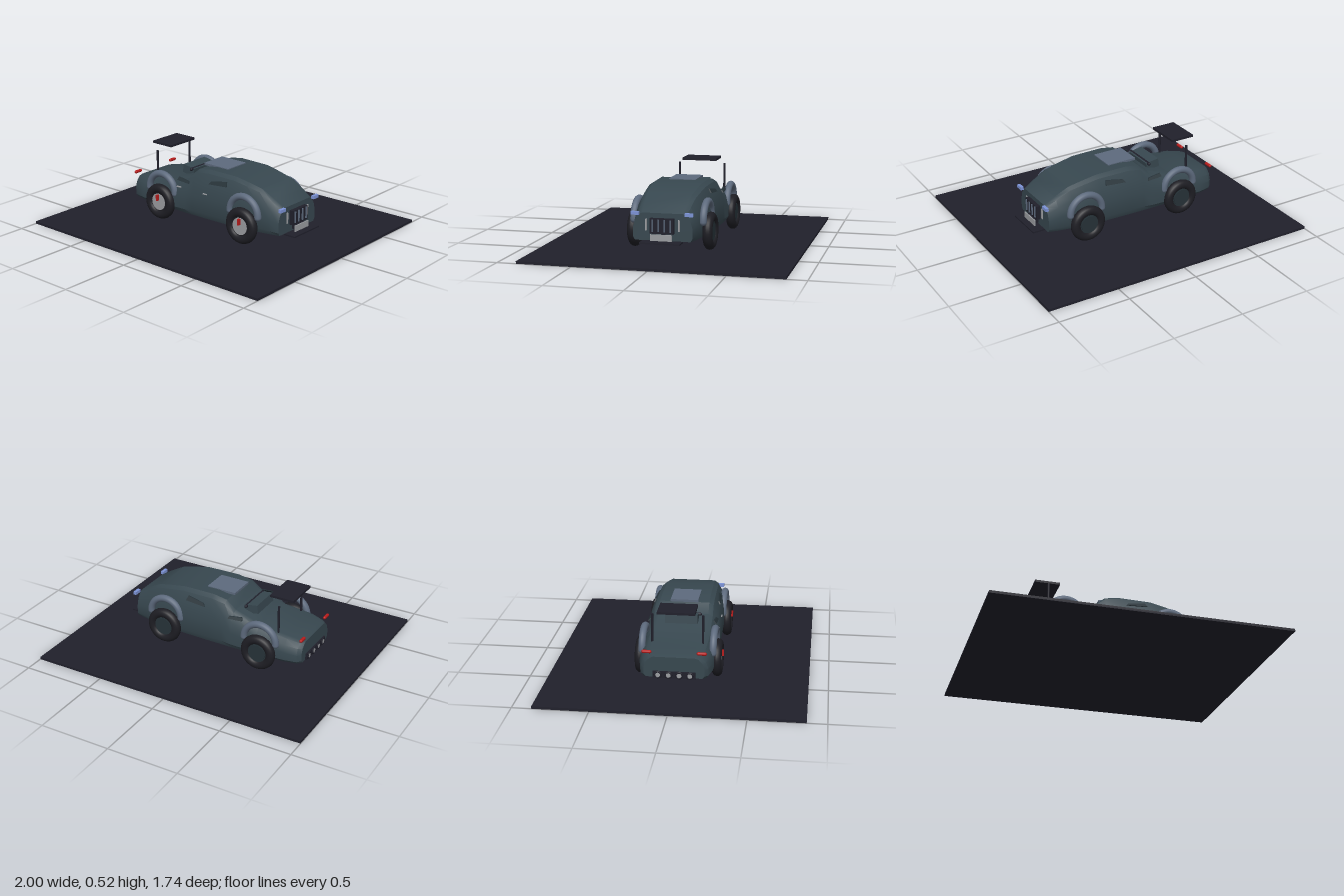
import * as THREE from 'three';
import { toCreasedNormals } from 'three/addons/utils/BufferGeometryUtils.js';

const mat = (name, color, side = THREE.FrontSide) => {
  const m = new THREE.MeshStandardMaterial({ color, side });
  m.name = name;
  return m;
};

// Body lofted from stations along x: [x, bottom, top, half width]
function bodyGeometry() {
  const stations = [
    [-0.666, 0.115, 0.255, 0.2], [-0.64, 0.11, 0.262, 0.222], [-0.553, 0.11, 0.28, 0.242],
    [-0.34, 0.108, 0.3, 0.25], [-0.28, 0.107, 0.33, 0.25], [-0.15, 0.105, 0.368, 0.25],
    [-0.08, 0.105, 0.425, 0.249], [0.02, 0.105, 0.442, 0.248], [0.25, 0.107, 0.44, 0.244],
    [0.36, 0.11, 0.42, 0.236], [0.46, 0.112, 0.398, 0.226], [0.56, 0.115, 0.345, 0.212],
    [0.634, 0.118, 0.3, 0.2],
  ];
  // Half section as fractions of width and height, bottom to top
  const half = [[0.93, 0], [1, 0.12], [1, 0.45], [0.93, 0.74], [0.8, 0.94], [0.68, 1]];
  const section = [...half, ...half.slice().reverse().map(([z, y]) => [-z, y])];
  const n = section.length, pos = [], index = [];
  for (const [x, b, t, w] of stations)
    for (const [z, y] of section) pos.push(x, b + (t - b) * y, z * w);
  for (let s = 0; s < stations.length - 1; s++)
    for (let i = 0; i < n; i++) {
      const a = s * n + i, b = s * n + (i + 1) % n;
      index.push(a, a + n, b, b, a + n, b + n);
    }
  const last = (stations.length - 1) * n;
  for (let i = 1; i < n - 1; i++) {
    index.push(0, i, i + 1);
    index.push(last, last + i + 1, last + i);
  }
  const g = new THREE.BufferGeometry();
  g.setAttribute('position', new THREE.Float32BufferAttribute(pos, 3));
  g.setIndex(index);
  return toCreasedNormals(g, 0.5);
}

export function createModel() {
  const root = new THREE.Group();
  root.name = 'car';
  const body = mat('body', 0x37474f, THREE.DoubleSide);
  const trim = mat('greyTrim', 0x5d6a7d);
  const black = mat('black', 0x20202b);
  const tyreMat = mat('tyre', 0x1d1d23);
  const glass = mat('darkGlass', 0x263238);
  const silver = mat('silver', 0x9a9ca0);
  const red = mat('red', 0xb71c1c);
  const blue = mat('headlight', 0x7c93d6);

  const add = (name, geometry, material, x, y, z, parent = root) => {
    const m = new THREE.Mesh(geometry, material);
    m.name = name;
    m.position.set(x, y, z);
    parent.add(m);
    return m;
  };
  const box = (name, w, h, d, material, x, y, z) =>
    add(name, new THREE.BoxGeometry(w, h, d), material, x, y, z);
  const disc = (r, d) => new THREE.CylinderGeometry(r, r, d, 32).rotateX(Math.PI / 2);

  // Base and shell
  box('ground', 2, 0.017, 1.74, black, 0, 0.0085, 0);
  add('bodyShell', bodyGeometry(), body, 0, 0, 0);
  box('sunroof', 0.215, 0.016, 0.19, trim, 0.007, 0.439, 0);

  // Engine cover and roll bar behind the cabin
  const cover = box('rearCover', 0.1, 0.06, 0.22, body, -0.235, 0.367, 0);
  cover.rotation.z = -0.15;
  add('rollBar', new THREE.CapsuleGeometry(0.011, 0.24, 4, 12).rotateX(Math.PI / 2), black, -0.2, 0.384, 0);

  // Wheels with arches
  for (const x of [-0.37, 0.37]) for (const s of [1, -1]) {
    const wheel = new THREE.Group();
    wheel.name = 'wheel';
    wheel.position.set(x, 0.147, s * 0.258);
    root.add(wheel);
    add('tyre', new THREE.TorusGeometry(0.094, 0.033, 16, 40), tyreMat, 0, 0, 0, wheel);
    add('rim', disc(0.075, 0.036), s > 0 ? tyreMat : glass, 0, 0, 0, wheel);
    add('hub', disc(0.06, 0.04), s > 0 ? silver : glass, 0, 0, 0.002 * s, wheel);
    if (s > 0)
      add('brakeCaliper', new THREE.BoxGeometry(0.014, 0.042, 0.022), red, 0, 0.034, 0.03, wheel);
    add('wheelArch', new THREE.TorusGeometry(0.12, 0.024, 14, 40, Math.PI), trim, x, 0.225, s * 0.236);
    for (const e of [-1, 1])
      add('wheelArchEnd', new THREE.SphereGeometry(0.024, 14, 10), trim, x + e * 0.12, 0.225, s * 0.236);
  }

  // Side windows and door handles
  const windows = [
    [[0.06, 0.362], [0.075, 0.382], [0.2, 0.402], [0.21, 0.372]],
    [[-0.23, 0.33], [-0.225, 0.35], [-0.13, 0.34], [-0.12, 0.325]],
  ];
  for (const s of [1, -1]) windows.forEach((pts, i) => {
    const shape = new THREE.Shape(pts.map(([x, y]) => new THREE.Vector2(x, y)));
    const g = new THREE.ExtrudeGeometry(shape, { depth: 0.009, bevelEnabled: false });
    // Lean the pane inwards with the side of the body
    const p = g.attributes.position;
    for (let k = 0; k < p.count; k++) {
      const z = i ? 0.234 - (p.getY(k) - 0.325) * 0.75 : 0.231 - (p.getY(k) - 0.362) * 0.6;
      p.setZ(k, s * z + p.getZ(k) - 0.0045);
    }
    g.computeVertexNormals();
    add('sideWindow', g, glass, 0, 0, 0);
  });
  for (const x of [-0.205, 0.035])
    box('doorHandle', 0.034, 0.006, 0.012, silver, x, 0.288, 0.244);

  // Rear wing
  box('wing', 0.175, 0.016, 0.25, black, -0.473, 0.516, 0);
  for (const s of [1, -1])
    add('wingPost', new THREE.CylinderGeometry(0.008, 0.008, 0.21, 12), black, -0.475, 0.375, s * 0.168);

  // Lights
  for (const s of [1, -1]) {
    const lamp = new THREE.CapsuleGeometry(0.011, 0.045, 4, 12).rotateX(Math.PI / 2);
    add('tailLight', lamp, red, -0.66, 0.287, s * 0.18);
    box('headlight', 0.022, 0.022, 0.055, blue, 0.648, 0.298, s * 0.18);
    box('frontMarker', 0.012, 0.075, 0.01, silver, 0.636, 0.222, s * 0.11);
  }

  // Exhausts
  box('exhaustPanel', 0.02, 0.045, 0.28, black, -0.668, 0.135, 0);
  for (const z of [-0.105, -0.035, 0.035, 0.105]) {
    add('exhaustRing', new THREE.TorusGeometry(0.02, 0.006, 8, 20).rotateY(Math.PI / 2), black, -0.678, 0.135, z);
    add('exhaustTip', disc(0.018, 0.012).rotateY(Math.PI / 2), silver, -0.676, 0.135, z);
  }

  // Nose: grille, number plate and splitter
  box('grille', 0.03, 0.1, 0.16, black, 0.647, 0.218, 0);
  for (const z of [-0.06, -0.02, 0.02, 0.06])
    box('grilleBar', 0.008, 0.08, 0.008, trim, 0.666, 0.222, z);
  box('numberPlate', 0.008, 0.042, 0.145, silver, 0.674, 0.145, 0);
  box('plateBracket', 0.045, 0.03, 0.1, black, 0.65, 0.145, 0);
  box('splitter', 0.09, 0.01, 0.27, black, 0.675, 0.114, 0);

  return root;
}
